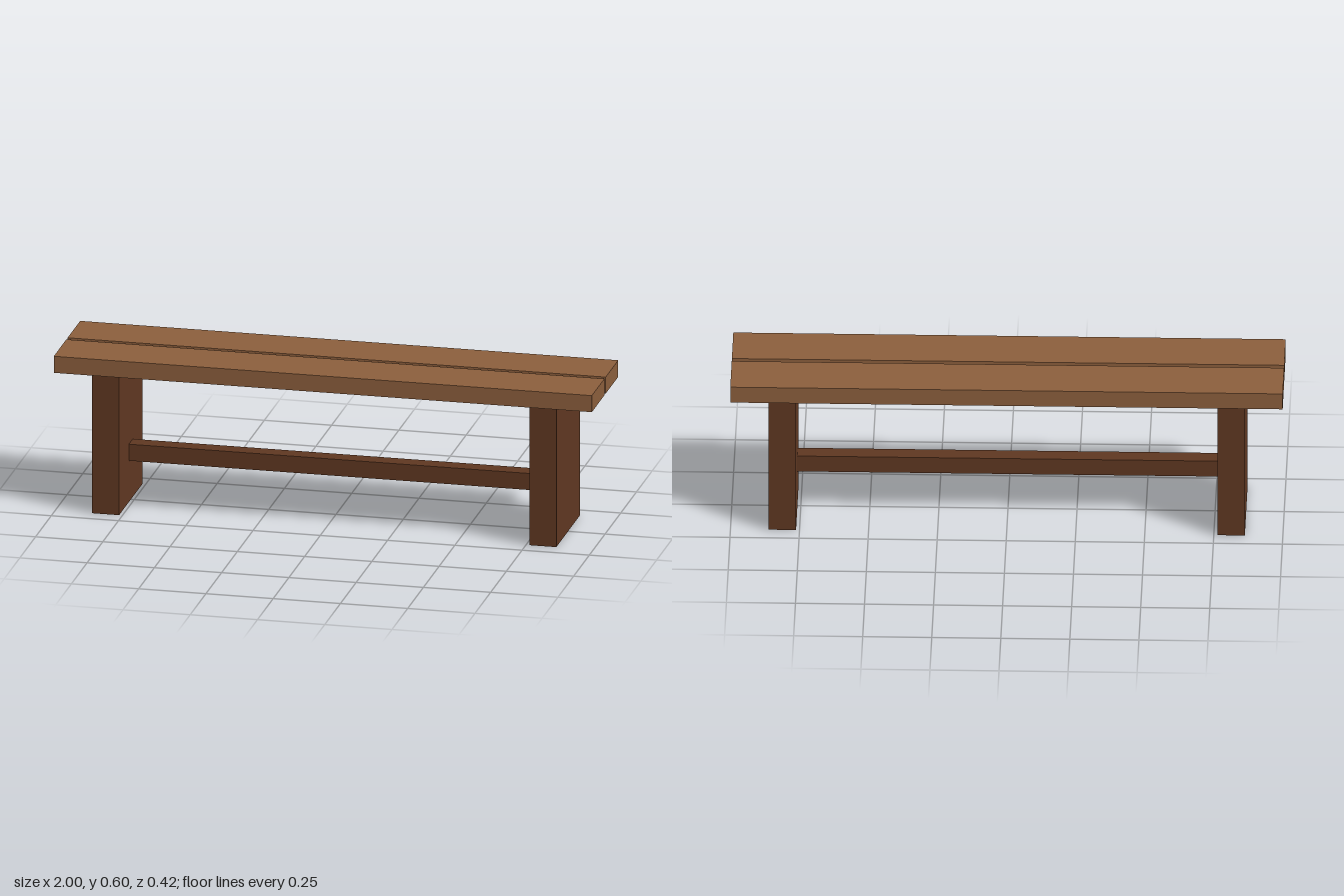
import * as THREE from 'three';

export function createModel() {
  const bench = new THREE.Group();
  bench.name = 'bench';

  const lightWood = new THREE.MeshStandardMaterial({ color: 0x8b5e3c });
  lightWood.name = 'light wood';
  const darkWood = new THREE.MeshStandardMaterial({ color: 0x5f3721 });
  darkWood.name = 'dark wood';

  // Box given by its size and the position of its centre
  function addBox(name, material, size, position) {
    const mesh = new THREE.Mesh(new THREE.BoxGeometry(...size), material);
    mesh.name = name;
    mesh.position.set(...position);
    bench.add(mesh);
  }

  // Two seat planks with a narrow gap between them
  addBox('frontSeatPlank', lightWood, [2, 0.063, 0.2], [0, 0.5635, 0.11]);
  addBox('backSeatPlank', lightWood, [2, 0.063, 0.2], [0, 0.5635, -0.11]);

  // Slab legs, let slightly into the seat
  addBox('leftLeg', darkWood, [0.1, 0.55, 0.374], [0.8125, 0.275, 0]);
  addBox('rightLeg', darkWood, [0.1, 0.55, 0.374], [-0.8125, 0.275, 0]);

  // Stretcher rail between the legs
  addBox('stretcher', darkWood, [1.525, 0.063, 0.063], [0, 0.189, 0]);

  return bench;
}
